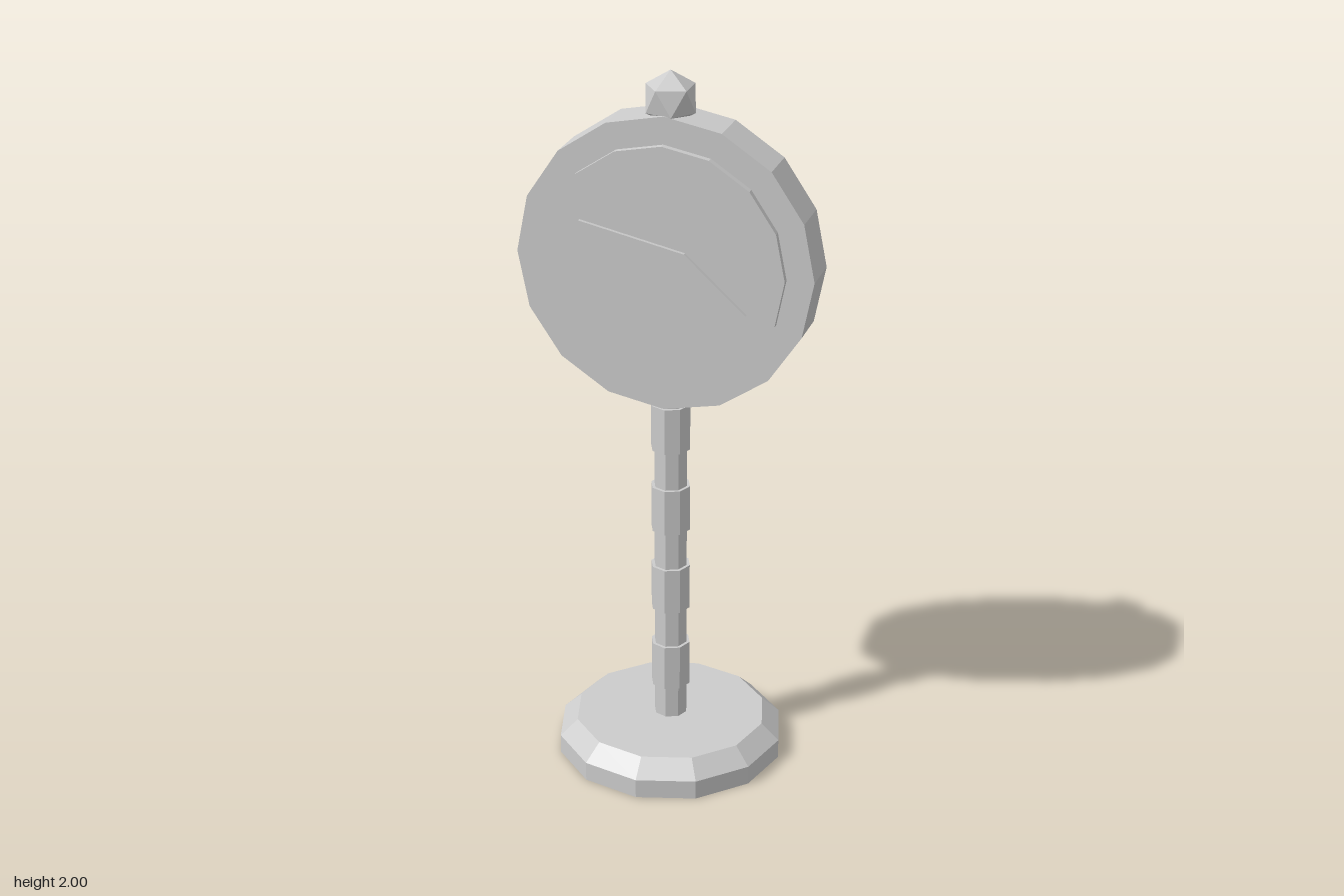
import * as THREE from 'three';

export function createModel() {
  const group = new THREE.Group();
  const grey = new THREE.MeshStandardMaterial({ color: 0xcccccc, flatShading: true });
  grey.name = 'plain grey';

  function add(name, geometry, x = 0, y = 0, z = 0) {
    const mesh = new THREE.Mesh(geometry, grey);
    mesh.name = name;
    mesh.position.set(x, y, z);
    group.add(mesh);
    return mesh;
  }

  // Twelve-sided foot with a chamfered rim
  const profile = [[0, 0], [0.322, 0], [0.322, 0.055], [0.272, 0.102], [0, 0.102]];
  add('base', new THREE.LatheGeometry(profile.map(([r, y]) => new THREE.Vector2(r, y)), 12));

  // Octagonal pole with four evenly spaced collars
  add('pole', new THREE.CylinderGeometry(0.047, 0.047, 1.02, 8), 0, 0.6, 0);
  for (let i = 0; i < 4; i++) {
    add('collar', new THREE.CylinderGeometry(0.056, 0.056, 0.133, 8), 0, 0.264 + i * 0.245, 0);
  }

  // Round sign: thick rim and a slightly deeper inner face
  const signY = 1.483;
  const disc = (r, depth) => new THREE.CylinderGeometry(r, r, depth, 16).rotateX(Math.PI / 2);
  add('signRim', disc(0.41, 0.126), 0, signY, 0);
  add('signFace', disc(0.335, 0.162), 0, signY, 0);

  // Kite-shaped pointer, repeated on the back by a half turn
  const kite = new THREE.Shape([
    [-0.226, 0.114], [0.033, -0.177], [0.234, -0.103], [0.065, 0.051],
  ].map(([x, y]) => new THREE.Vector2(x, y)));
  for (const turn of [0, Math.PI]) {
    const plate = new THREE.ExtrudeGeometry(kite, { depth: 0.012, bevelEnabled: false });
    plate.translate(0, 0, 0.08).rotateY(turn);
    add(turn ? 'backPointer' : 'frontPointer', plate, 0, signY, 0);
  }

  // Faceted finial standing on one corner
  const tilt = Math.atan(2 / (1 + Math.sqrt(5)));
  add('finial', new THREE.IcosahedronGeometry(0.076, 0).rotateZ(tilt), 0, 1.924, 0);

  return group;
}
